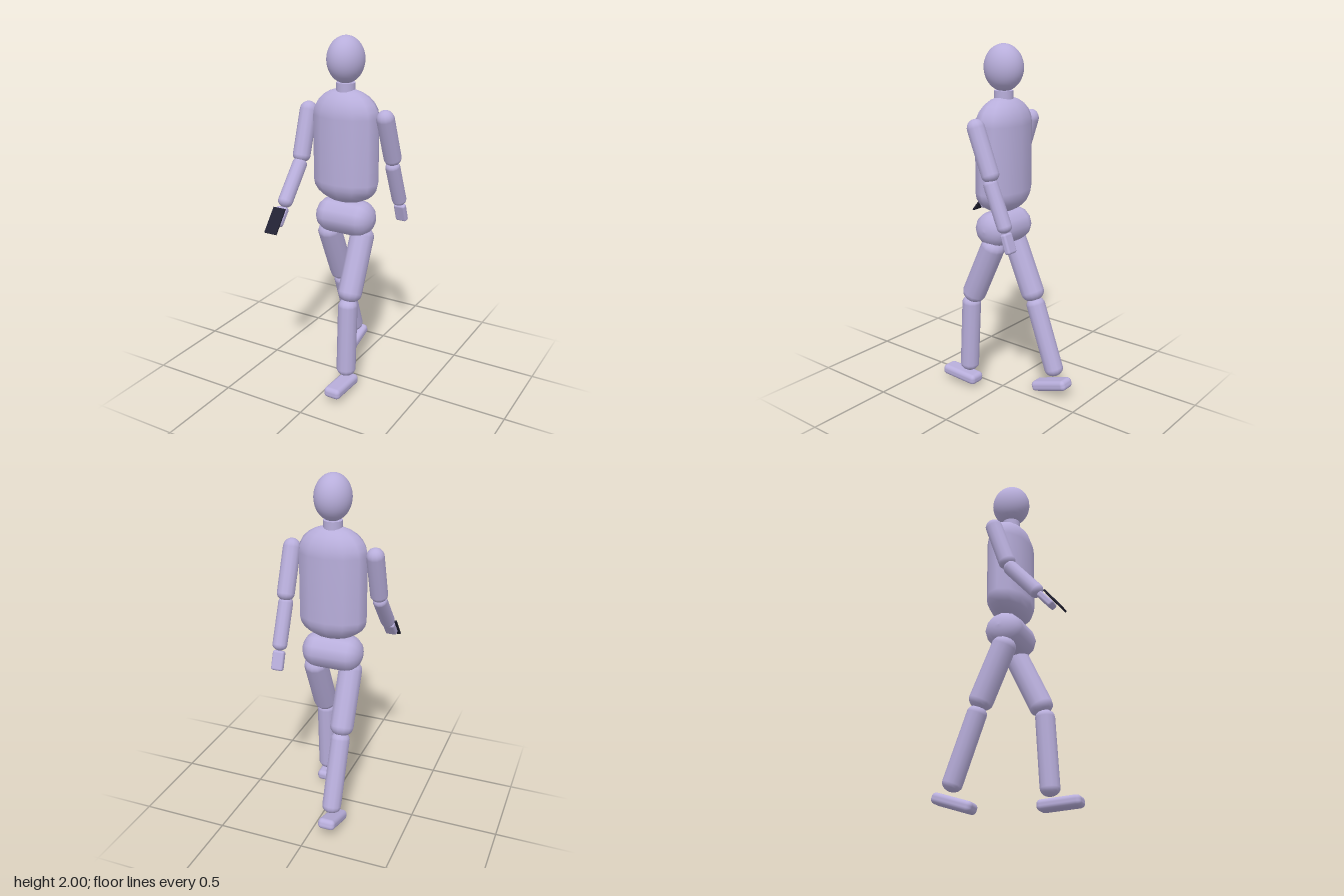
import * as THREE from 'three';
import { RoundedBoxGeometry } from 'three/addons/geometries/RoundedBoxGeometry.js';

const SIDES = 12;

// Upright body of revolution with elliptical caps, centred on its own middle
function cappedGeometry(r, height, topCap, bottomCap) {
  const pts = [];
  const steps = 6;
  const half = height / 2;
  for (let i = 0; i <= steps; i++) {
    const a = (i / steps) * Math.PI / 2;
    pts.push(new THREE.Vector2(r * Math.sin(a), -half + bottomCap * (1 - Math.cos(a))));
  }
  for (let i = 0; i <= steps; i++) {
    const a = (i / steps) * Math.PI / 2;
    pts.push(new THREE.Vector2(r * Math.cos(a), half - topCap * (1 - Math.sin(a))));
  }
  return new THREE.LatheGeometry(pts, SIDES);
}

export function createModel() {
  const model = new THREE.Group();
  model.name = 'walkingFigure';

  const body = new THREE.MeshStandardMaterial({ color: 0xb8aedb });
  body.name = 'lavender';
  const dark = new THREE.MeshStandardMaterial({ color: 0x222233 });
  dark.name = 'darkNavy';

  const add = (name, geometry, x, y, z, tilt = 0, material = body) => {
    const mesh = new THREE.Mesh(geometry, material);
    mesh.name = name;
    mesh.position.set(x, y, z);
    mesh.rotation.x = tilt;
    model.add(mesh);
    return mesh;
  };

  // Limb segment at a fixed x, from upper joint [z, y] to lower joint [z, y]
  const limb = (name, x, [z0, y0], [z1, y1], r, topCap = 0.8, bottomCap = 0.8) => {
    const length = Math.hypot(z1 - z0, y1 - y0) + 2 * r * 0.92;
    const geometry = cappedGeometry(r, length, r * topCap, r * bottomCap);
    add(name, geometry, x, (y0 + y1) / 2, (z0 + z1) / 2, Math.atan2(z0 - z1, y0 - y1));
  };

  // Head and neck
  add('head', new THREE.SphereGeometry(1, 32, 20), 0, 1.875, -0.006).scale.set(0.1, 0.125, 0.112);
  add('neck', new THREE.CylinderGeometry(0.052, 0.052, 0.1, 20), 0, 1.705, -0.006);

  // Torso and hips
  add('torso', cappedGeometry(1, 0.637, 0.15, 0.125), 0, 1.4065, -0.008).scale.set(0.196, 1, 0.123);
  const hips = add('hips', cappedGeometry(0.1, 0.35, 0.085, 0.085), 0, 1.002, -0.007);
  hips.rotation.z = Math.PI / 2;
  hips.scale.z = 1.09;

  // Arms: the left swings back, the right reaches forward
  const arms = [
    { side: 'left', x: 0.236, elbow: [-0.103, 1.352], fore: [-0.11, 1.292], wrist: [-0.197, 1.087],
      hand: [0.998, -0.226], tilt: 0.34 },
    { side: 'right', x: -0.237, elbow: [0.07, 1.348], fore: [0.096, 1.294], wrist: [0.24, 1.126],
      hand: [1.053, 0.3], tilt: -0.71 },
  ];
  for (const a of arms) {
    limb(a.side + 'UpperArm', a.x, [-0.009, 1.585], a.elbow, 0.049, 1, 0.8);
    limb(a.side + 'Forearm', a.x, a.fore, a.wrist, 0.041);
    add(a.side + 'Hand', new RoundedBoxGeometry(0.068, 0.11, 0.036, 3, 0.012), a.x, a.hand[0], a.hand[1], a.tilt);
  }

  // Flat device held in the right hand
  add('handheldDevice', new THREE.BoxGeometry(0.075, 0.15, 0.009), -0.237, 1.042, 0.346, -0.68, dark);

  // Legs: the left steps forward, the right pushes off behind
  const legs = [
    { side: 'left', x: 0.102, knee: [0.123, 0.612], shin: [0.15, 0.526], ankle: [0.169, 0.153],
      foot: [0.06, 0.225], tilt: -0.04 },
    { side: 'right', x: -0.104, knee: [-0.132, 0.612], shin: [-0.162, 0.527], ankle: [-0.291, 0.175],
      foot: [0.064, -0.28], tilt: 0.32 },
  ];
  for (const l of legs) {
    limb(l.side + 'Thigh', l.x, [-0.007, 0.893], l.knee, 0.068);
    limb(l.side + 'Shin', l.x, l.shin, l.ankle, 0.055);
    add(l.side + 'Foot', new RoundedBoxGeometry(0.1, 0.06, 0.242, 4, 0.024), l.x, l.foot[0], l.foot[1], l.tilt);
  }

  return model;
}
